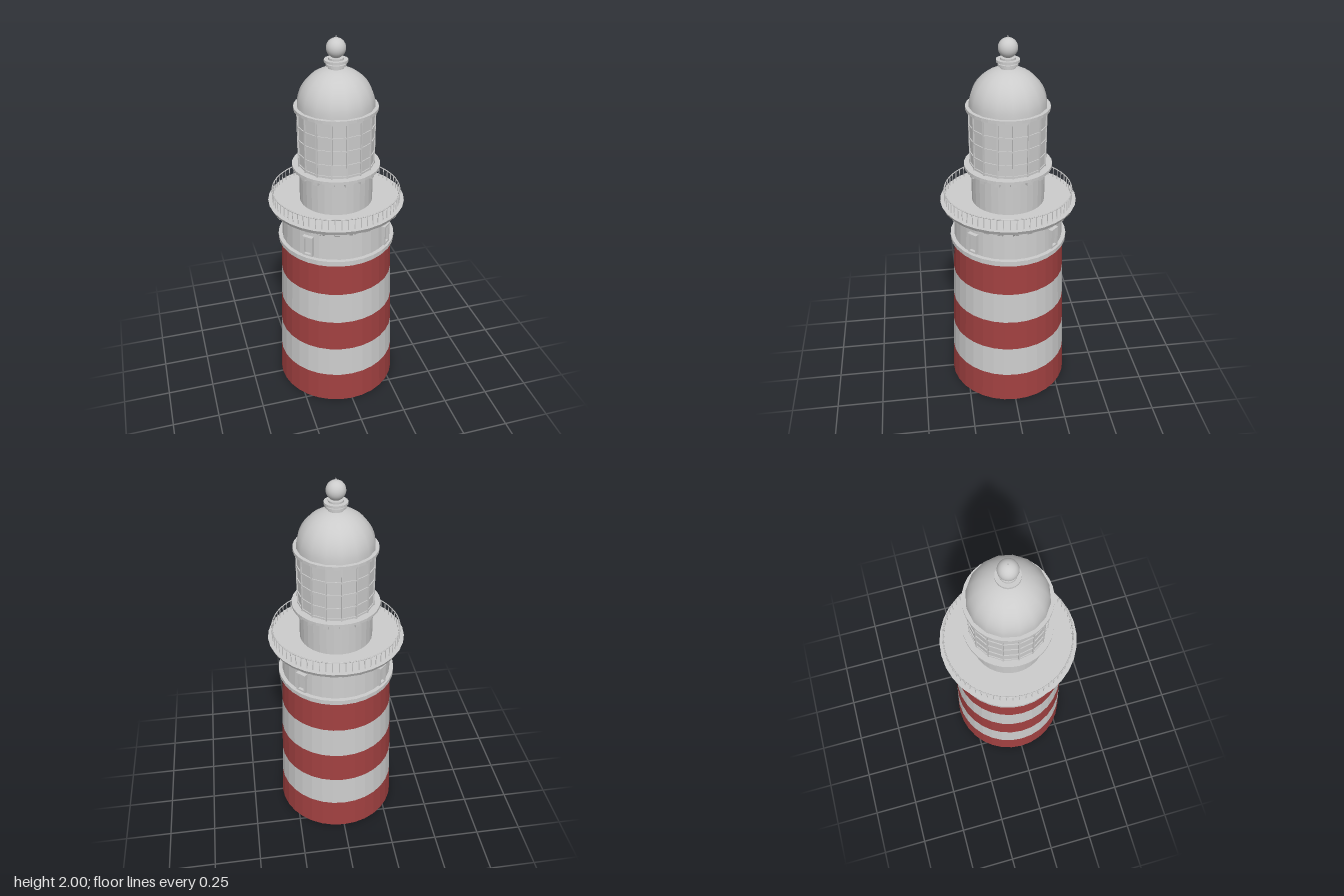
import * as THREE from 'three';

const grey = new THREE.MeshStandardMaterial({ color: 0xcccccc, flatShading: true });
const smooth = new THREE.MeshStandardMaterial({ color: 0xcccccc });
const red = new THREE.MeshStandardMaterial({ color: 0xa04040, flatShading: true });

export function createModel() {
  const root = new THREE.Group();
  root.name = 'lighthouse';

  const add = (name, geometry, material = grey, parent = root) => {
    const mesh = new THREE.Mesh(geometry, material);
    mesh.name = name;
    parent.add(mesh);
    return mesh;
  };
  // Upright drum between two heights, with bottom and top radius
  const drum = (name, y0, y1, r0, r1 = r0, sides = 32, material = grey) => {
    const mesh = add(name, new THREE.CylinderGeometry(r1, r0, y1 - y0, sides), material);
    mesh.position.y = (y0 + y1) / 2;
    return mesh;
  };
  // Repeat parts around the axis; each is built facing +z in its own group
  const around = (name, count, build, offset = 0) => {
    for (let i = 0; i < count; i++) {
      const group = new THREE.Group();
      group.name = name;
      group.rotation.y = offset + (i / count) * Math.PI * 2;
      build(group);
      root.add(group);
    }
  };
  const box = (parent, name, w, h, d, x, y, z) =>
    add(name, new THREE.BoxGeometry(w, h, d), grey, parent).position.set(x, y, z);
  const hoop = (name, y, radius, tube, sides) => {
    const mesh = add(name, new THREE.TorusGeometry(radius, tube, 6, sides), smooth);
    mesh.rotation.x = Math.PI / 2;
    mesh.position.y = y;
  };

  // Tapering tower in five alternating bands
  const towerRadius = (y) => 0.33 - (y / 0.9) * 0.038;
  for (let i = 0; i < 5; i++) {
    const y0 = i * 0.18, y1 = y0 + 0.18;
    drum('towerBand', y0, y1, towerRadius(y0), towerRadius(y1), 32, i % 2 ? grey : red);
  }

  // Cornice and watch room
  drum('corniceLower', 0.9, 0.912, 0.3);
  drum('corniceUpper', 0.912, 0.935, 0.31);
  drum('watchRoom', 0.935, 1.115, 0.289, 0.281);

  // Four framed windows on the diagonals
  around('window', 4, (g) => {
    box(g, 'windowPane', 0.036, 0.1, 0.02, 0, 1.0, 0.278);
    for (const s of [-1, 1]) {
      box(g, 'windowJamb', 0.01, 0.11, 0.035, s * 0.023, 1.0, 0.285);
      box(g, 'windowLintel', 0.056, 0.01, 0.035, 0, 1.0 + s * 0.05, 0.285);
    }
  }, Math.PI / 4);

  // Gallery deck on wedge brackets
  const wedge = new THREE.Shape([
    new THREE.Vector2(0.27, 1.07), new THREE.Vector2(0.288, 1.075),
    new THREE.Vector2(0.342, 1.112), new THREE.Vector2(0.342, 1.122),
    new THREE.Vector2(0.27, 1.122),
  ]);
  const wedgeGeometry = new THREE.ExtrudeGeometry(wedge, { depth: 0.026, bevelEnabled: false });
  wedgeGeometry.translate(0, 0, -0.013).rotateY(-Math.PI / 2);
  around('galleryBracket', 24, (g) => add('bracketWedge', wedgeGeometry, grey, g));
  drum('galleryDeck', 1.118, 1.14, 0.345, 0.356);

  // Railing
  const post = new THREE.CylinderGeometry(0.0025, 0.0025, 0.06, 5);
  around('railing', 64, (g) => add('railPost', post, grey, g).position.set(0, 1.168, 0.333));
  hoop('railTop', 1.197, 0.333, 0.003, 64);

  // Lantern base with small corbels below its ledge
  drum('lanternBase', 1.14, 1.33, 0.19);
  around('ledgeCorbel', 16, (g) => box(g, 'corbel', 0.026, 0.024, 0.03, 0, 1.318, 0.197));
  drum('lanternLedgeLower', 1.327, 1.334, 0.213);
  drum('lanternLedge', 1.33, 1.345, 0.226);

  // Glazed lantern with a grid of bars
  drum('lanternGlass', 1.345, 1.645, 0.192, 0.192, 16);
  around('lanternMullion', 16, (g) => box(g, 'mullion', 0.007, 0.3, 0.012, 0, 1.495, 0.192));
  for (const y of [1.355, 1.415, 1.49, 1.56, 1.63]) drum('lanternBar', y - 0.004, y + 0.004, 0.197, 0.197, 16);
  drum('lanternCornice', 1.64, 1.656, 0.21);

  // Domed roof
  const domePoints = [];
  for (let i = 0; i <= 12; i++) {
    const a = (i / 12) * Math.PI / 2;
    domePoints.push(new THREE.Vector2(0.194 * Math.cos(a), 1.655 + 0.192 * Math.sin(a)));
  }
  add('dome', new THREE.LatheGeometry(domePoints, 16), smooth);

  // Finial: stacked collars, ball and tip
  drum('finialNeck', 1.835, 1.895, 0.038, 0.038, 24);
  drum('finialCollarLower', 1.855, 1.866, 0.05, 0.05, 24);
  drum('finialCollarUpper', 1.874, 1.886, 0.058, 0.058, 24);
  drum('finialStem', 1.886, 1.91, 0.02, 0.02, 16);
  add('finialBall', new THREE.SphereGeometry(0.048, 24, 16), smooth).position.y = 1.94;
  drum('finialTip', 1.98, 2.0, 0.004, 0.001, 8);

  return root;
}
